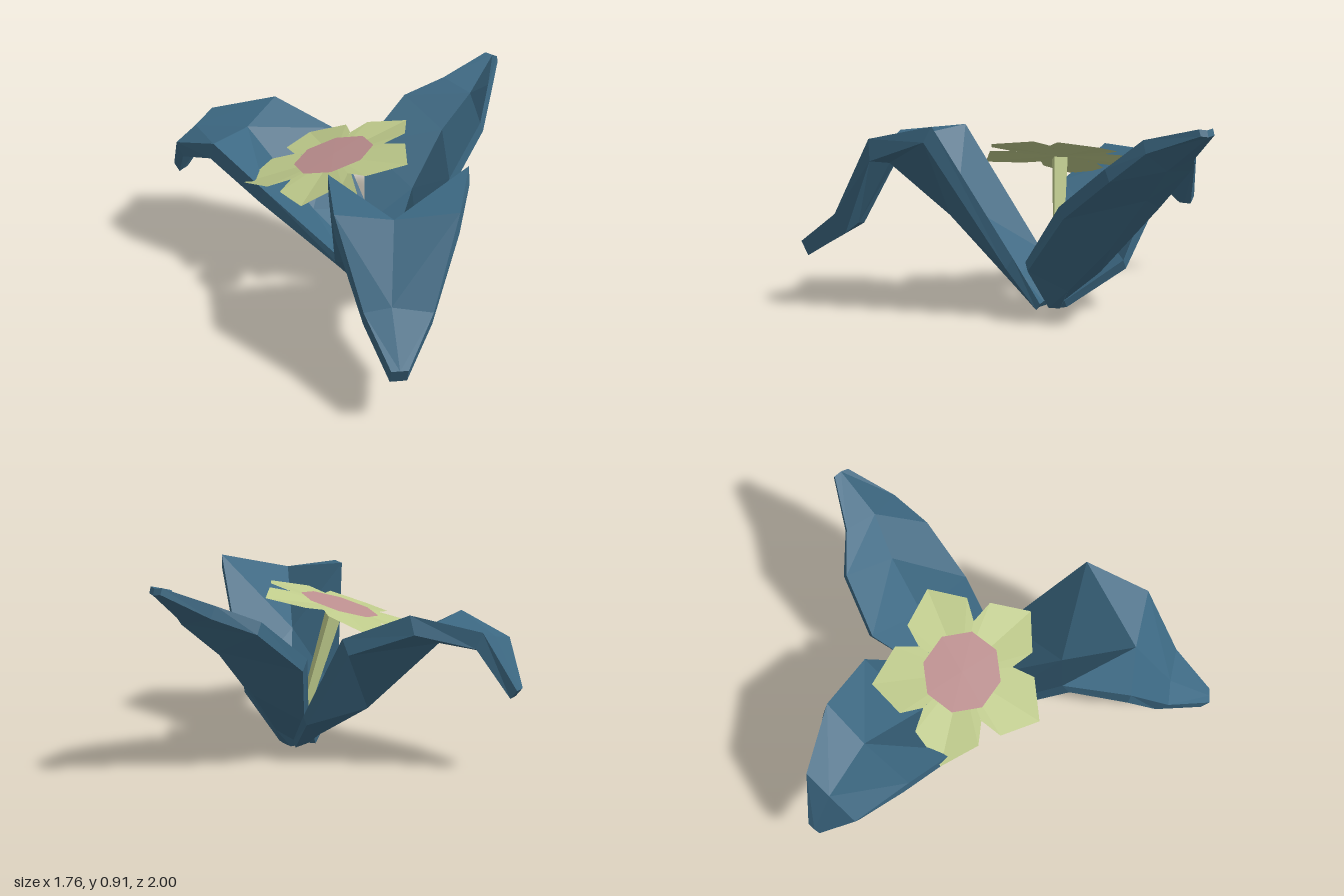
import * as THREE from 'three';

const mat = (color) =>
  new THREE.MeshStandardMaterial({ color, flatShading: true, side: THREE.DoubleSide });
const V = (p) => new THREE.Vector3(...p);

function mesh(name, tris, material) {
  const g = new THREE.BufferGeometry();
  g.setAttribute('position', new THREE.Float32BufferAttribute(tris.flatMap((v) => v.toArray()), 3));
  g.computeVertexNormals();
  const m = new THREE.Mesh(g, material);
  m.name = name;
  return m;
}

// Thick folded leaf: each row is [left edge, midrib, right edge, thickness], from base to tip
function leaf(name, rows, material) {
  const rings = rows.map((r, i) => {
    const top = r.slice(0, 3).map(V);
    const prev = V(rows[Math.max(i - 1, 0)][1]);
    const next = V(rows[Math.min(i + 1, rows.length - 1)][1]);
    const down = top[2].clone().sub(top[0]).cross(next.sub(prev)).normalize();
    down.y += 0.6; // keep the rim leaning to the vertical
    down.normalize().multiplyScalar(-r[3]);
    const bottom = top.map((p) => p.clone().add(down));
    return [...top, ...bottom.reverse()];
  });
  const tris = [];
  const quad = (a, b, c, d) => tris.push(a, b, c, a, c, d);
  for (let i = 0; i < rings.length - 1; i++) {
    const A = rings[i], B = rings[i + 1];
    for (let j = 0; j < 6; j++) {
      const k = (j + 1) % 6;
      // diagonals run from the rim up to the midrib
      if (j === 1 || j === 4) quad(A[k], B[k], B[j], A[j]);
      else quad(A[j], A[k], B[k], B[j]);
    }
  }
  const first = rings[0], last = rings[rings.length - 1];
  for (const [a, b, c, d] of [[5, 4, 1, 0], [4, 3, 2, 1]]) {
    quad(first[a], first[b], first[c], first[d]);
    quad(last[d], last[c], last[b], last[a]);
  }
  return mesh(name, tris, material);
}

export function createModel() {
  const group = new THREE.Group();
  const blue = mat(0x3c6882), green = mat(0xc0cc8c), pink = mat(0xbd8f8f);

  // Three arching leaves that meet at the base
  group.add(leaf('rightLeaf', [
    [[0.23, 0.04, -0.02], [0.26, 0.03, -0.06], [0.25, 0.04, -0.12], 0.035],
    [[0.17, 0.13, 0.05], [0.14, 0.12, -0.1], [0.09, 0.23, -0.34], 0.045],
    [[-0.2, 0.53, 0.21], [-0.1, 0.31, -0.1], [-0.13, 0.62, -0.39], 0.08],
    [[-0.5, 0.69, 0.16], [-0.47, 0.67, -0.12], [-0.44, 0.745, -0.355], 0.09],
    [[-0.77, 0.6, 0.06], [-0.755, 0.63, -0.1], [-0.74, 0.67, -0.24], 0.08],
    [[-0.88, 0.4, -0.08], [-0.88, 0.4, -0.11], [-0.875, 0.4, -0.15], 0.05],
  ], blue));
  group.add(leaf('backLeaf', [
    [[0.22, 0.04, -0.07], [0.27, 0.03, -0.09], [0.33, 0.04, -0.07], 0.03],
    [[0.12, 0.21, -0.22], [0.3, 0.14, -0.16], [0.47, 0.25, -0.06], 0.045],
    [[0.01, 0.53, -0.46], [0.3, 0.38, -0.39], [0.53, 0.53, -0.29], 0.06],
    [[0.12, 0.73, -0.69], [0.36, 0.62, -0.61], [0.575, 0.72, -0.56], 0.06],
    [[0.28, 0.81, -0.81], [0.44, 0.77, -0.77], [0.545, 0.85, -0.73], 0.06],
    [[0.43, 0.905, -0.995], [0.47, 0.9, -0.99], [0.5, 0.905, -0.97], 0.03],
  ], blue));
  group.add(leaf('leftLeaf', [
    [[0.36, 0.035, -0.06], [0.28, 0.03, -0.02], [0.18, 0.035, -0.03], 0.035],
    [[0.55, 0.28, -0.05], [0.35, 0.16, 0.06], [0.12, 0.24, 0.11], 0.06],
    [[0.8, 0.875, 0.2], [0.47, 0.5, 0.33], [0.25, 0.83, 0.46], 0.08],
    [[0.88, 0.81, 0.5], [0.63, 0.77, 0.61], [0.41, 0.8, 0.73], 0.1],
    [[0.87, 0.45, 0.73], [0.71, 0.47, 0.8], [0.61, 0.45, 0.86], 0.1],
    [[0.86, 0.3, 0.96], [0.83, 0.3, 0.98], [0.8, 0.3, 1.0], 0.075],
  ], blue));

  // Tapered stem leaning from the base to the flower
  const foot = V([0.25, 0.06, -0.08]), head = V([0.09, 0.68, 0.02]);
  const stem = new THREE.Mesh(
    new THREE.CylinderGeometry(0.045, 0.02, foot.distanceTo(head), 4), green);
  stem.name = 'stem';
  stem.position.copy(foot).lerp(head, 0.5);
  stem.quaternion.setFromUnitVectors(V([0, 1, 0]), head.clone().sub(foot).normalize());
  group.add(stem);

  // Tilted flower: point at radius r and sideways offset s, turned by angle a
  const flower = new THREE.Group();
  flower.name = 'flower';
  const at = (a, r, s, lift = 0) => {
    const dx = r * Math.sin(a) + s * Math.cos(a), dz = r * Math.cos(a) - s * Math.sin(a);
    return V([0.07 + dx, 0.695 + 0.28 * dx - 0.11 * dz + lift, 0.03 + dz]);
  };

  // Five petals folded along the centre line, touching at their inner corners
  for (let i = 0; i < 5; i++) {
    const a = 0.1 + (i * Math.PI * 2) / 5;
    const root = at(a, 0, 0, -0.006), tip = at(a, 0.42, 0, -0.025), tris = [];
    for (const side of [-1, 1]) {
      const inner = at(a, 0.19, side * 0.138, -0.004);
      const outer = at(a, 0.3, side * 0.15, -0.005);
      tris.push(...(side > 0
        ? [root, tip, outer, root, outer, inner]
        : [root, outer, tip, root, inner, outer]));
    }
    flower.add(mesh('petal', tris, green));
  }

  // Flat eight-sided flower centre
  const disc = [], hub = at(0, 0, 0, 0.006);
  for (let i = 0; i < 8; i++) {
    const a = ((i + 0.5) * Math.PI) / 4;
    disc.push(hub, at(a, 0.185, 0, 0.004), at(a + Math.PI / 4, 0.185, 0, 0.004));
  }
  flower.add(mesh('flowerCentre', disc, pink));
  group.add(flower);
  return group;
}
